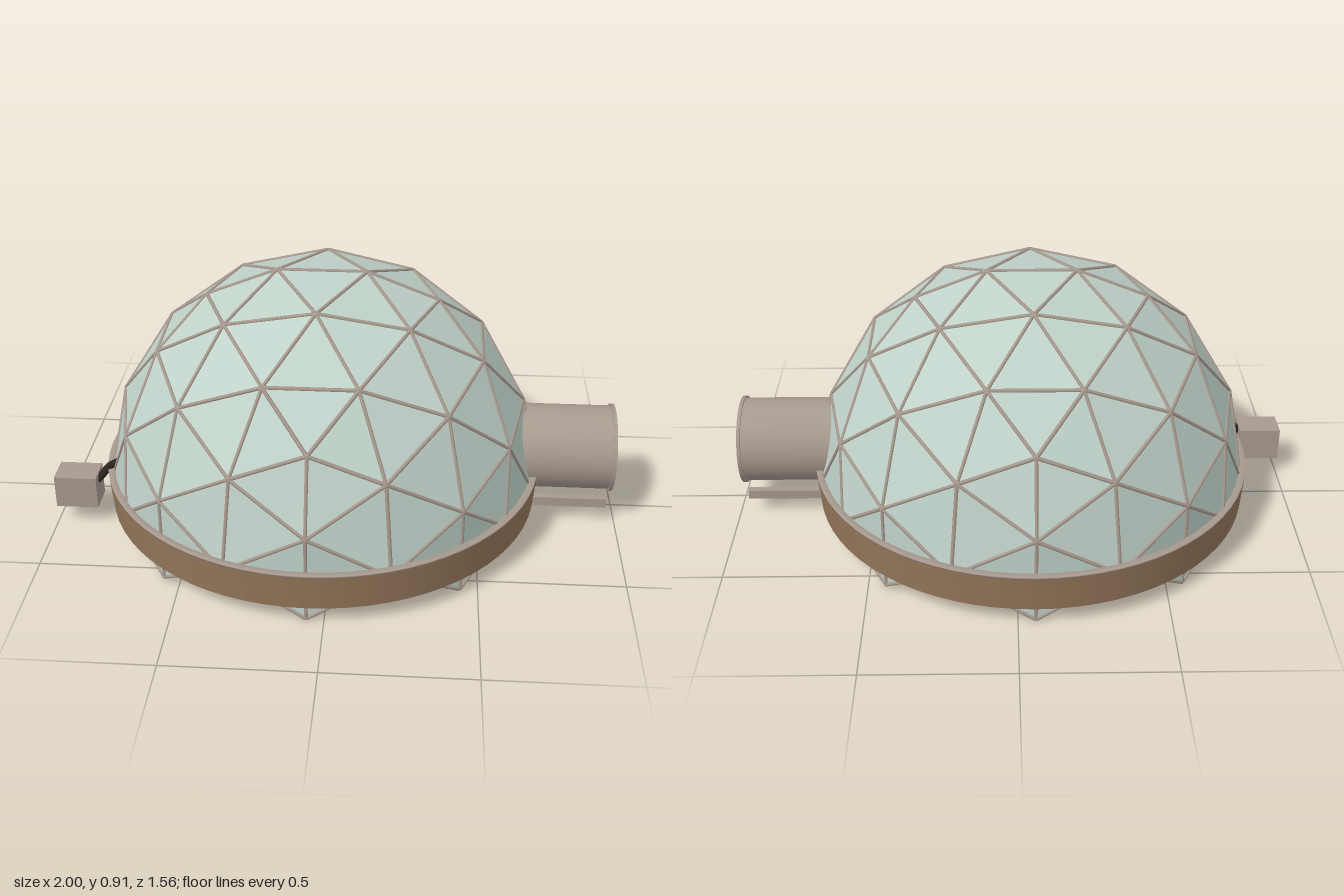
import * as THREE from 'three';

const mat = (name, color, side = THREE.FrontSide) => {
  const m = new THREE.MeshStandardMaterial({ color, side });
  m.name = name;
  return m;
};

export function createModel() {
  const glass = mat('pale green panel', 0xbfd1c8, THREE.DoubleSide);
  const metal = mat('warm grey metal', 0xa89a8f);
  const brown = mat('brown band', 0x947659);
  const dark = mat('dark', 0x2b251f);

  const model = new THREE.Group();
  model.name = 'domeHabitat';
  const add = (parent, name, geo, material, x = 0, y = 0, z = 0) => {
    const mesh = new THREE.Mesh(geo, material);
    mesh.name = name;
    mesh.position.set(x, y, z);
    parent.add(mesh);
    return mesh;
  };

  // Geodesic shell: keep every triangle centred on or above the equator
  const R = 0.762, CX = -0.058, CY = 0.16;
  const dome = new THREE.Group();
  dome.name = 'dome';
  dome.position.set(CX, 0, 0);
  model.add(dome);

  const pos = new THREE.IcosahedronGeometry(R, 2).attributes.position;
  const verts = [];
  const edges = new Map();
  const key = (v) => v.toArray().map((n) => Math.round(n * 1000) + 0).join(',');
  for (let i = 0; i < pos.count; i += 3) {
    const tri = [0, 1, 2].map((k) => new THREE.Vector3().fromBufferAttribute(pos, i + k));
    if (tri[0].y + tri[1].y + tri[2].y < -0.01) continue;
    tri.forEach((a, k) => {
      const b = tri[(k + 1) % 3];
      verts.push(a.x, a.y, a.z);
      edges.set([key(a), key(b)].sort().join('|'), [a, b]);
    });
  }
  const shell = new THREE.BufferGeometry();
  shell.setAttribute('position', new THREE.Float32BufferAttribute(verts, 3));
  shell.computeVertexNormals();
  add(dome, 'panels', shell, glass, 0, CY, 0);

  // A slim strut along every panel edge
  const struts = new THREE.Group();
  struts.name = 'struts';
  struts.position.y = CY;
  dome.add(struts);
  const up = new THREE.Vector3(0, 1, 0);
  for (const [a, b] of edges.values()) {
    const dir = b.clone().sub(a);
    const mid = a.clone().add(b).multiplyScalar(0.5);
    const strut = add(struts, 'strut', new THREE.CylinderGeometry(0.0065, 0.0065, dir.length(), 6),
      metal, mid.x, mid.y, mid.z);
    strut.quaternion.setFromUnitVectors(up, dir.normalize());
  }

  // Foundation band, its pale top rim and the floor
  const lathe = (pts) => new THREE.LatheGeometry(pts.map((p) => new THREE.Vector2(...p)), 72);
  add(dome, 'bandOuter', lathe([[0.769, 0.065], [0.779, 0.19]]), brown);
  add(dome, 'bandUnderside', lathe([[0.748, 0.065], [0.769, 0.065]]), brown);
  add(dome, 'bandInner', lathe([[0.756, 0.19], [0.748, 0.065]]), brown);
  add(dome, 'bandRim', lathe([[0.756, 0.19], [0.779, 0.19], [0.779, 0.197], [0.756, 0.197], [0.756, 0.19]]), metal);
  add(dome, 'floor', new THREE.CylinderGeometry(0.745, 0.745, 0.01, 72), dark, 0, 0.075, 0);

  // Airlock, lying along x
  const airlock = new THREE.Group();
  airlock.name = 'airlock';
  airlock.position.set(0, 0.247, 0);
  model.add(airlock);
  const drum = (name, r, x0, x1, material) => {
    const mesh = add(airlock, name, new THREE.CylinderGeometry(r, r, x1 - x0, 48), material, (x0 + x1) / 2);
    mesh.rotation.z = -Math.PI / 2;
    return mesh;
  };
  const hoop = (name, r, tube, x, y = 0) => {
    add(airlock, name, new THREE.TorusGeometry(r, tube, 8, 40), metal, x, y, 0).rotation.y = Math.PI / 2;
  };
  drum('airlockBody', 0.15, 0.58, 0.972, metal);
  drum('airlockFlange', 0.157, 0.97, 0.982, metal);
  drum('hatch', 0.092, 0.98, 0.988, metal);
  hoop('hatchSeal', 0.095, 0.005, 0.985);
  hoop('hatchWheel', 0.038, 0.004, 0.995, -0.015);
  add(airlock, 'hatchWindow', new THREE.BoxGeometry(0.008, 0.025, 0.03), dark, 0.991, 0.033, 0);

  // Rails beneath the airlock
  for (const s of [-1, 1]) {
    add(model, 'airlockRail', new THREE.BoxGeometry(0.29, 0.034, 0.026), metal, 0.82, 0.078, s * 0.1);
  }

  // Utility box joined to the dome by a cable
  add(model, 'utilityBox', new THREE.BoxGeometry(0.15, 0.12, 0.108), metal, -0.925, 0.125, 0.186);
  const cable = new THREE.CatmullRomCurve3([
    new THREE.Vector3(-0.86, 0.15, 0.19),
    new THREE.Vector3(-0.838, 0.172, 0.184),
    new THREE.Vector3(-0.81, 0.202, 0.174),
    new THREE.Vector3(-0.775, 0.215, 0.16),
  ]);
  add(model, 'cable', new THREE.TubeGeometry(cable, 16, 0.014, 10), dark);

  return model;
}
